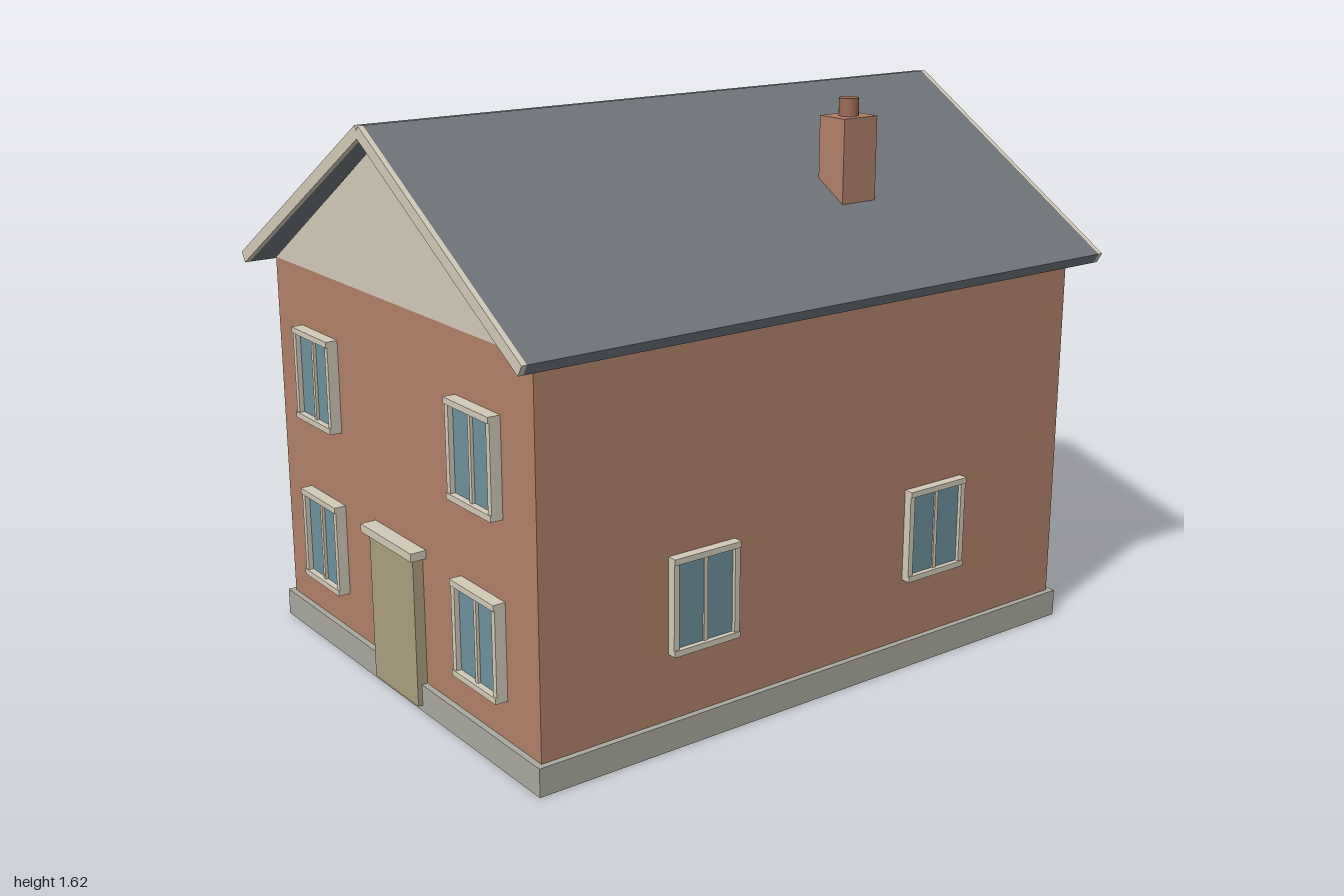
import * as THREE from 'three';

const mat = (color) => new THREE.MeshStandardMaterial({ color });
const brick = mat(0xb08068), cream = mat(0xd2cab8), stone = mat(0xa9a89e);
const slate = mat(0x70757b), glass = mat(0x6c919c), doorPaint = mat(0xaa9e80);
const clay = mat(0x9c6a54);

function add(parent, name, geometry, material, x = 0, y = 0, z = 0) {
  const mesh = new THREE.Mesh(geometry, material);
  mesh.name = name;
  mesh.position.set(x, y, z);
  parent.add(mesh);
  return mesh;
}

const box = (parent, name, w, h, d, material, x, y, z) =>
  add(parent, name, new THREE.BoxGeometry(w, h, d), material, x, y, z);

// Two-pane window facing +z, its back on z = 0
function createWindow(w, h, depth) {
  const win = new THREE.Group();
  win.name = 'window';
  const bar = 0.017;
  box(win, 'glass', w - bar, h - bar, depth * 0.5, glass, 0, 0, depth * 0.25);
  for (const s of [-1, 1]) {
    box(win, 'frameSide', bar, h - bar, depth - 0.004, cream, s * (w - bar) / 2, 0, (depth - 0.004) / 2);
    box(win, 'frameRail', w, bar, depth, cream, 0, s * (h - bar) / 2, depth / 2);
  }
  box(win, 'mullion', 0.012, h - bar, depth - 0.01, cream, 0, 0, (depth - 0.01) / 2);
  return win;
}

// Gable end wall: four windows, door with lintel, and the pale triangle above
function createEnd() {
  const end = new THREE.Group();
  end.name = 'endWall';
  for (const x of [-0.433, 0.433]) {
    for (const y of [0.328, 0.82]) {
      const win = createWindow(0.217, 0.272, 0.037);
      win.position.set(x, y, 0.924);
      end.add(win);
    }
  }
  box(end, 'door', 0.244, 0.434, 0.04, doorPaint, 0, 0.235, 0.936);
  box(end, 'doorLintel', 0.284, 0.024, 0.05, cream, 0, 0.464, 0.947);

  const tri = new THREE.Shape([
    new THREE.Vector2(-0.695, 1.13),
    new THREE.Vector2(0.695, 1.13),
    new THREE.Vector2(0, 1.572),
  ]);
  add(end, 'gable', new THREE.ExtrudeGeometry(tri, { depth: 0.02, bevelEnabled: false }), cream, 0, 0, 0.905);
  return end;
}

export function createModel() {
  const house = new THREE.Group();
  house.name = 'house';

  // Plinth and brick body
  box(house, 'plinth', 1.425, 0.08, 1.885, stone, 0, 0.04, 0);
  box(house, 'walls', 1.39, 1.05, 1.85, brick, 0, 0.605, 0);

  // Matching front and back
  for (const turn of [0, Math.PI]) {
    const end = createEnd();
    end.rotation.y = turn;
    house.add(end);
  }

  // Two windows on the +x wall only
  for (const z of [0.42, -0.413]) {
    const win = createWindow(0.217, 0.272, 0.029);
    win.rotation.y = Math.PI / 2;
    win.position.set(0.694, 0.404, z);
    house.add(win);
  }

  // Roof slopes with a pale bargeboard at each end
  for (const s of [-1, 1]) {
    const slope = new THREE.Group();
    slope.name = 'roofSlope';
    slope.position.set(s * 0.378, 1.359, 0);
    slope.rotation.z = -s * 0.547;
    box(slope, 'roofSlab', 0.886, 0.034, 1.97, slate, 0, 0, 0);
    for (const e of [-1, 1]) {
      box(slope, 'bargeboard', 0.886, 0.034, 0.015, cream, 0, 0, e * 0.9925);
    }
    house.add(slope);
  }

  // Chimney and pot
  box(house, 'chimneyStack', 0.102, 0.265, 0.122, brick, 0.412, 1.4325, -0.31);
  add(house, 'chimneyPot', new THREE.CylinderGeometry(0.028, 0.028, 0.05, 24), clay, 0.412, 1.59, -0.31);

  return house;
}
